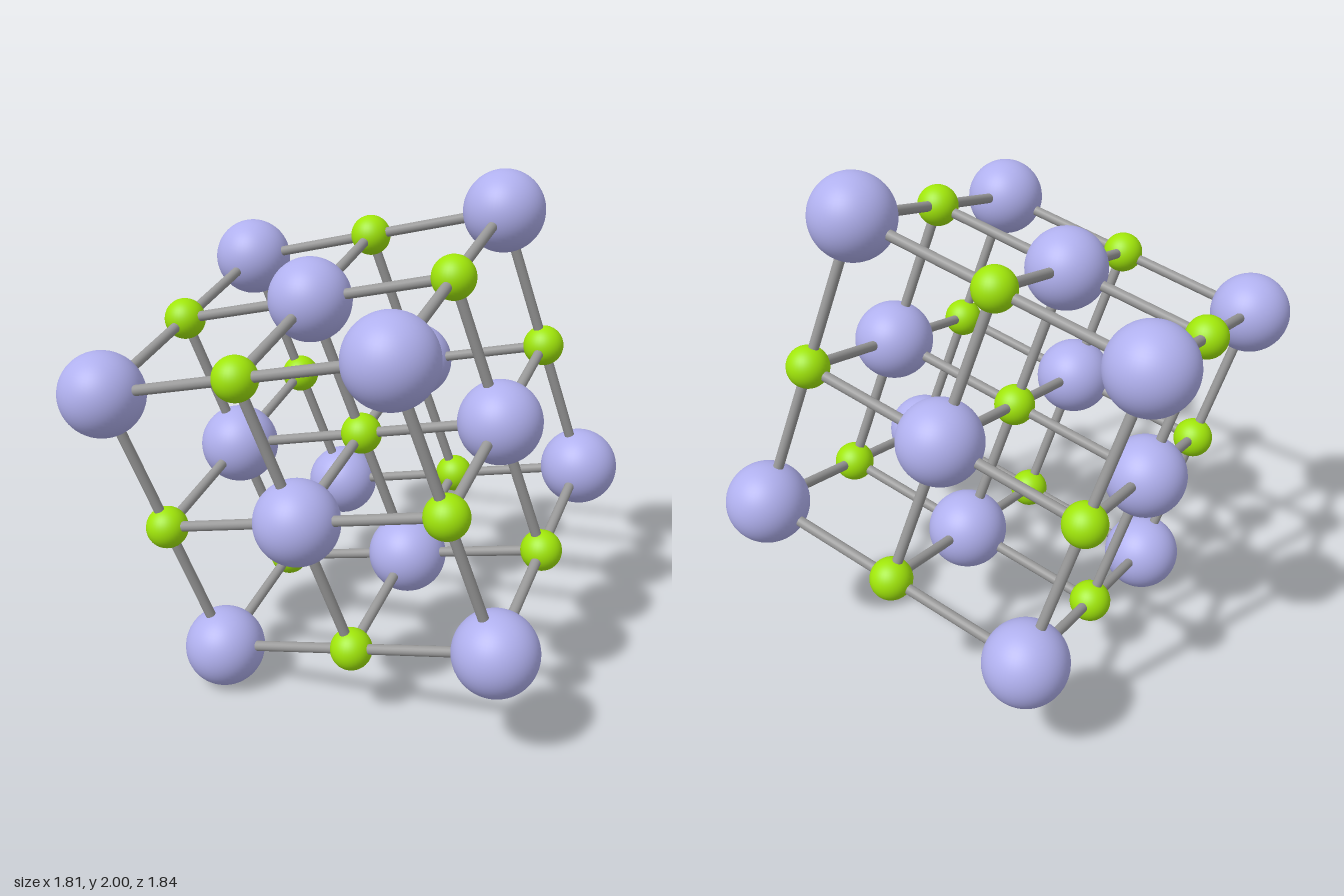
import * as THREE from 'three';

export function createModel() {
  const model = new THREE.Group();
  model.name = 'crystalLattice';

  const paint = (color) => new THREE.MeshStandardMaterial({ color });
  const largeMat = paint(0xb0b0ee), smallMat = paint(0xa0e60a), rodMat = paint(0x999999);

  // Tilted cubic lattice: three perpendicular steps between neighbouring nodes
  const steps = [
    new THREE.Vector3(0.572, 0.145, 0.055),
    new THREE.Vector3(-0.155, 0.557, 0.128),
    new THREE.Vector3(-0.018, -0.137, 0.576),
  ];
  const spacing = 0.593;
  const node = (i, j, k) => new THREE.Vector3(0, 1, 0)
    .addScaledVector(steps[0], i)
    .addScaledVector(steps[1], j)
    .addScaledVector(steps[2], k);

  const largeGeo = new THREE.SphereGeometry(0.159, 48, 32);
  const smallGeo = new THREE.SphereGeometry(0.081, 32, 24);
  const rodGeo = new THREE.CylinderGeometry(0.02, 0.02, spacing, 20);
  const up = new THREE.Vector3(0, 1, 0);

  const balls = new THREE.Group();
  balls.name = 'balls';
  const rods = new THREE.Group();
  rods.name = 'rods';
  model.add(balls, rods);

  for (let i = -1; i <= 1; i++) {
    for (let j = -1; j <= 1; j++) {
      for (let k = -1; k <= 1; k++) {
        const p = node(i, j, k);

        // Large balls on corners and face centres, small ones in between
        const large = (i + j + k) % 2 !== 0;
        const ball = new THREE.Mesh(large ? largeGeo : smallGeo, large ? largeMat : smallMat);
        ball.name = large ? 'largeBall' : 'smallBall';
        ball.position.copy(p);
        balls.add(ball);

        // Rods to the next node along each lattice direction
        [i, j, k].forEach((index, axis) => {
          if (index === 1) return;
          const rod = new THREE.Mesh(rodGeo, rodMat);
          rod.name = 'rod';
          rod.position.copy(p).addScaledVector(steps[axis], 0.5);
          rod.quaternion.setFromUnitVectors(up, steps[axis].clone().normalize());
          rods.add(rod);
        });
      }
    }
  }
  return model;
}
